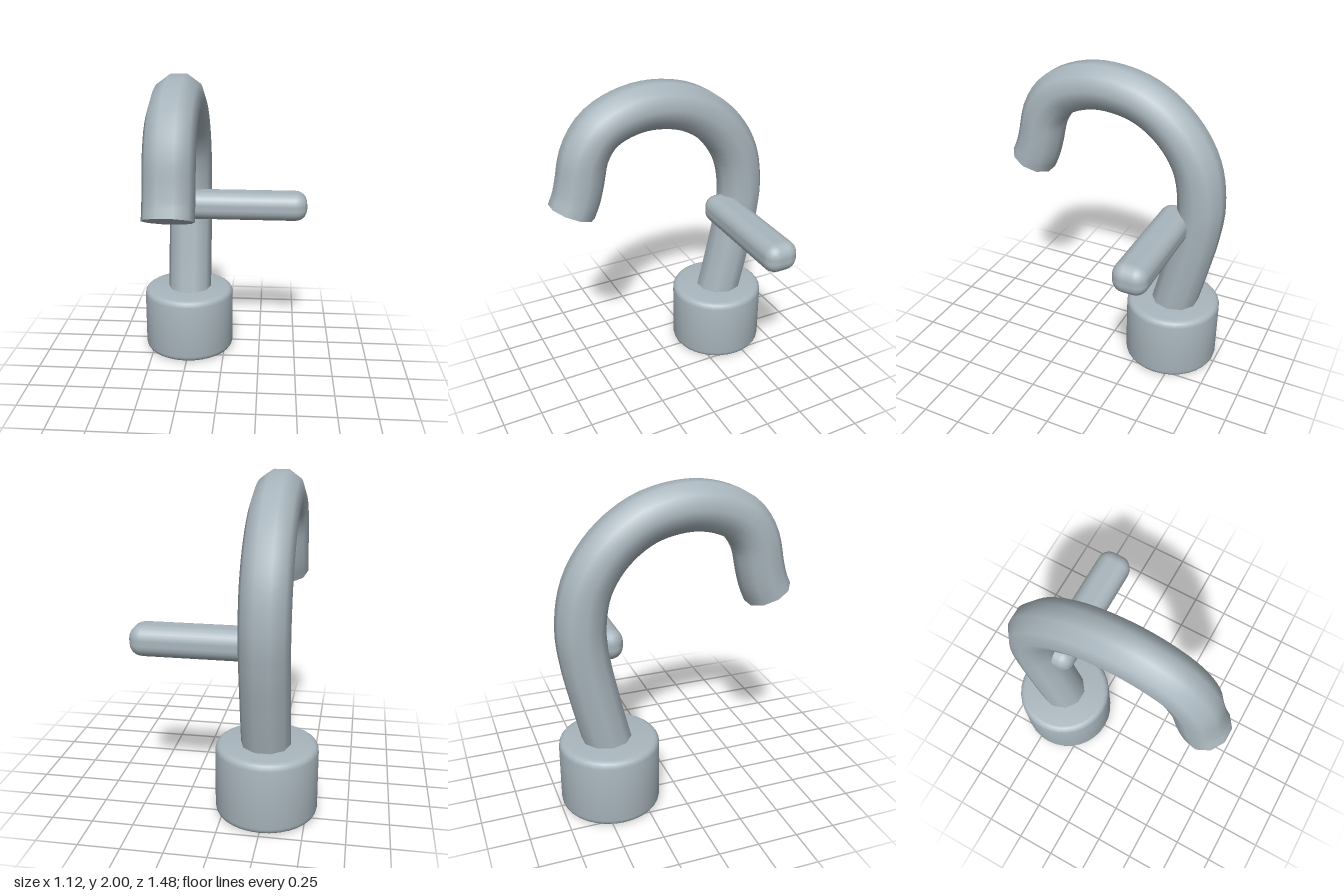
import * as THREE from 'three';
import { toCreasedNormals } from 'three/addons/utils/BufferGeometryUtils.js';
import { RoundedBoxGeometry } from 'three/addons/geometries/RoundedBoxGeometry.js';

export function createModel() {
  const group = new THREE.Group();
  const metal = new THREE.MeshStandardMaterial({ color: 0xa9b6bd });
  metal.name = 'brushed metal';

  const add = (name, geometry, x = 0, y = 0, z = 0) => {
    const mesh = new THREE.Mesh(geometry, metal);
    mesh.name = name;
    mesh.position.set(x, y, z);
    group.add(mesh);
    return mesh;
  };

  // Round base with softened rims
  const R = 0.31, H = 0.45, B = 0.04;
  const profile = [new THREE.Vector2(0, 0)];
  for (const [cy, start] of [[B, -Math.PI / 2], [H - B, 0]]) {
    for (let i = 0; i <= 4; i++) {
      const a = start + (i / 4) * Math.PI / 2;
      profile.push(new THREE.Vector2(R - B + B * Math.cos(a), cy + B * Math.sin(a)));
    }
  }
  profile.push(new THREE.Vector2(0, H));
  add('base', toCreasedNormals(new THREE.LatheGeometry(profile, 32), 0.5), -0.255, 0, -0.43);

  // Curved spout: centre line as [z, y], ten-sided section
  const path = new THREE.CatmullRomCurve3([
    [-0.405, 0.3], [-0.445, 0.45], [-0.51, 0.73], [-0.56, 0.98], [-0.578, 1.2],
    [-0.53, 1.45], [-0.39, 1.66], [-0.18, 1.806], [0.07, 1.857], [0.26, 1.83],
    [0.41, 1.753], [0.503, 1.62], [0.548, 1.44], [0.575, 1.345], [0.61, 1.267],
  ].map(([z, y]) => new THREE.Vector3(-0.25, y, z)));
  add('spout', new THREE.TubeGeometry(path, 56, 0.15, 10, false));

  // Flat cap closing the spout mouth
  const end = path.getPointAt(1);
  const cap = add('spoutMouth', new THREE.CircleGeometry(0.15, 10), end.x, end.y, end.z);
  cap.lookAt(end.clone().add(path.getTangentAt(1)));

  // Side lever
  add('lever', new RoundedBoxGeometry(0.86, 0.19, 0.22, 3, 0.08), 0.13, 1.06, -0.43);

  return group;
}
